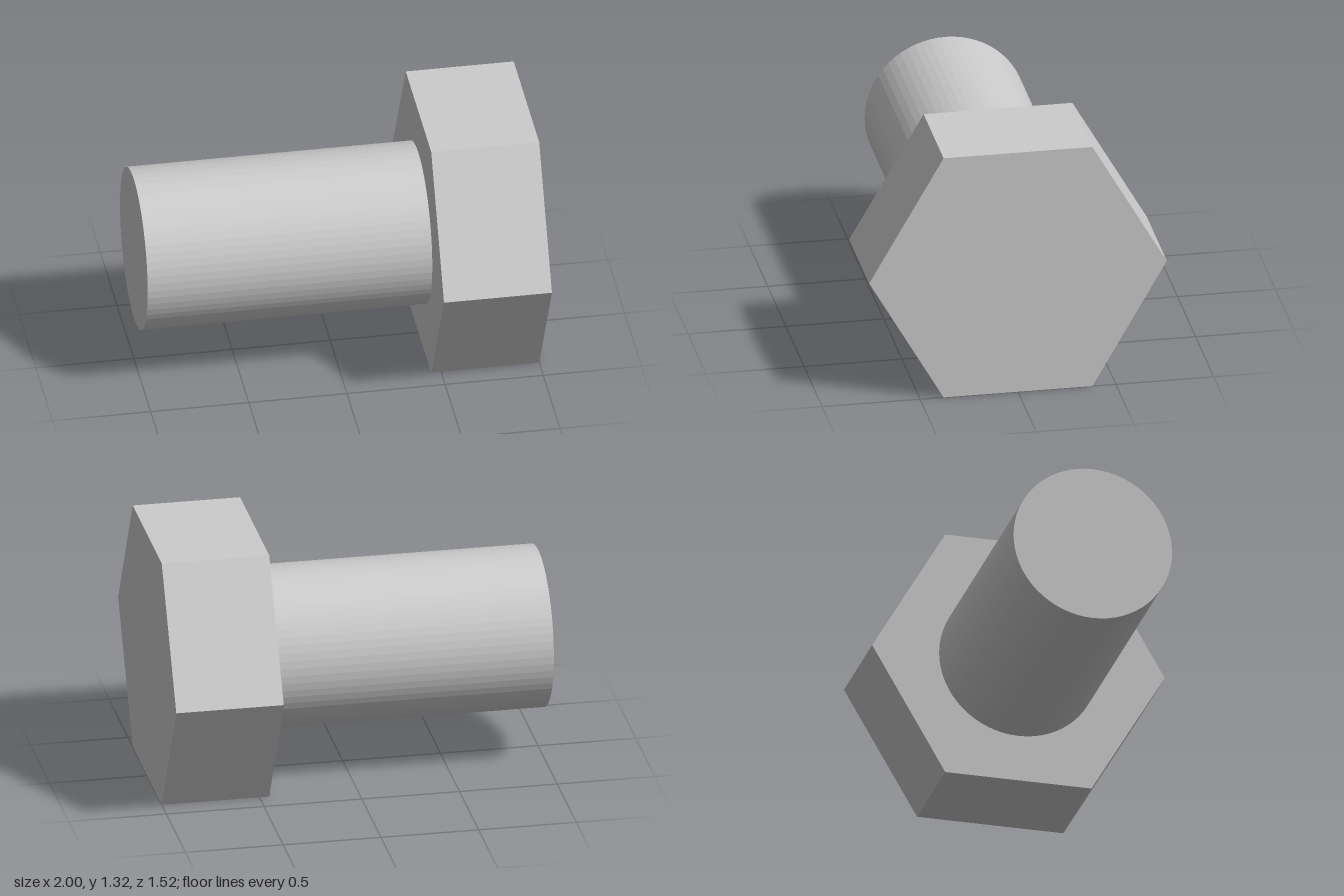
import * as THREE from 'three';

const HEAD_RADIUS = 0.76; // centre to corner
const AXIS_HEIGHT = HEAD_RADIUS * Math.cos(Math.PI / 6); // head rests on a flat

export function createModel() {
  const bolt = new THREE.Group();
  bolt.name = 'hexBolt';
  const material = new THREE.MeshStandardMaterial({ color: 0xcccccc, flatShading: true });

  // Prism lying along x from x0 to x1
  const addPrism = (name, radius, sides, x0, x1) => {
    const geometry = new THREE.CylinderGeometry(radius, radius, x1 - x0, sides);
    geometry.rotateZ(-Math.PI / 2);
    const mesh = new THREE.Mesh(geometry, material);
    mesh.name = name;
    mesh.position.set((x0 + x1) / 2, AXIS_HEIGHT, 0);
    bolt.add(mesh);
  };

  addPrism('shank', 0.412, 64, -1, 0.45);
  addPrism('hexHead', HEAD_RADIUS, 6, 0.45, 1);

  return bolt;
}
